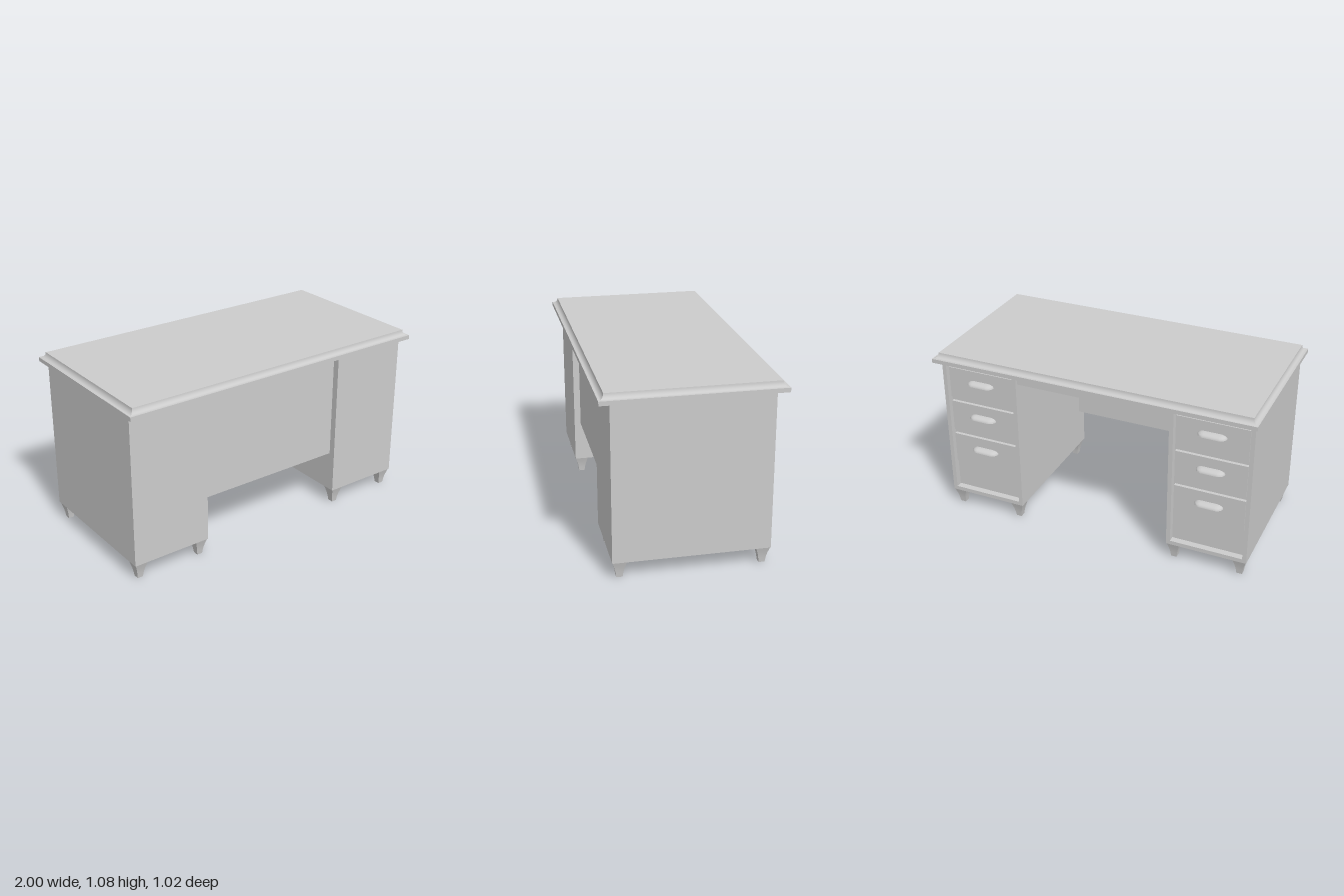
import * as THREE from 'three';
import { toCreasedNormals } from 'three/addons/utils/BufferGeometryUtils.js';
import { ParametricGeometry } from 'three/addons/geometries/ParametricGeometry.js';

const material = new THREE.MeshStandardMaterial({ color: 0xcccccc });
const doubleMaterial = new THREE.MeshStandardMaterial({ color: 0xcccccc, side: THREE.DoubleSide });

function add(parent, name, geometry, x = 0, y = 0, z = 0, mat = material) {
  const mesh = new THREE.Mesh(geometry, mat);
  mesh.name = name;
  mesh.position.set(x, y, z);
  parent.add(mesh);
  return mesh;
}

// Box given by its lower and upper limits
function board(parent, name, [x0, x1], [y0, y1], [z0, z1]) {
  const geometry = new THREE.BoxGeometry(x1 - x0, y1 - y0, z1 - z0);
  return add(parent, name, geometry, (x0 + x1) / 2, (y0 + y1) / 2, (z0 + z1) / 2);
}

// Stack of rectangles [halfX, halfZ, y]: a four-sided lathe with its corners moved
function rectLoft(rings) {
  const points = rings.map(([, , y]) => new THREE.Vector2(1, y));
  const geometry = new THREE.LatheGeometry(points, 4, Math.PI / 4);
  const pos = geometry.attributes.position;
  for (let i = 0; i < pos.count; i++) {
    const [hx, hz, y] = rings[i % rings.length];
    pos.setXYZ(i, Math.sign(pos.getX(i)) * hx, y, Math.sign(pos.getZ(i)) * hz);
  }
  return toCreasedNormals(geometry, 0.6);
}

// Table top: square-edged slab with a concave moulding above it
function topGeometry() {
  const rings = [[0, 0, 1.025], [1, 0.511, 1.025], [1, 0.511, 1.05]];
  for (let i = 0; i <= 6; i++) {
    const a = (i / 6) * Math.PI / 2;
    const inset = 0.003 + 0.028 * Math.sin(a);
    rings.push([1 - inset, 0.511 - inset, 1.05 + 0.033 * (1 - Math.cos(a))]);
  }
  rings.push([0, 0, 1.083]);
  return rectLoft(rings);
}

// Pedestal case: closed front and sides, rimmed recess at the back
function caseGeometry() {
  const w = 0.2475, h = 0.4625, rim = 0.025;
  return rectLoft([
    [0, 0, -0.45], [w, h, -0.45], [w, h, 0.447],
    [w - rim, h - rim, 0.447], [w - rim, h - rim, 0.407], [0, 0, 0.407],
  ]).rotateX(-Math.PI / 2);
}

// Tapered foot with concave sides
function footGeometry() {
  const profile = [[0.017, 0], [0.021, 0.03], [0.026, 0.055], [0.033, 0.08], [0.039, 0.1]];
  return rectLoft([[0, 0, 0], ...profile.map(([r, y]) => [r, r * 1.03, y])]);
}

// Hooded cup pull, round-ended in plan, hollow and open below
function pullGeometry() {
  const half = 0.045;
  const loop = [];
  for (let i = 0; i <= 6; i++) {
    const e = (i / 6) * Math.PI / 2;
    loop.push([0.041 * Math.cos(e), 0.022 * Math.sin(e)]);
  }
  for (let i = 6; i >= 0; i--) {
    const e = (i / 6) * Math.PI / 2;
    loop.push([0.033 * Math.cos(e), 0.016 * Math.sin(e)]);
  }
  loop.push(loop[0]);
  const slices = 17;
  const geometry = new ParametricGeometry((u, v, target) => {
    const i = Math.round(u * slices);
    const a = ((i < 9 ? i : i - 1) / 16) * Math.PI;
    const [r, y] = loop[Math.round(v * (loop.length - 1))];
    target.set((i < 9 ? half : -half) + r * Math.cos(a), y, -r * Math.sin(a));
  }, slices, loop.length - 1);
  return toCreasedNormals(geometry, 0.7);
}

export function createModel() {
  const desk = new THREE.Group();
  desk.name = 'desk';
  add(desk, 'tableTop', topGeometry());

  const pedestalCase = caseGeometry(), foot = footGeometry(), pull = pullGeometry();
  for (const side of [-1, 1]) {
    const pedestal = new THREE.Group();
    pedestal.name = side > 0 ? 'leftPedestal' : 'rightPedestal';
    pedestal.position.x = side * 0.7275;
    desk.add(pedestal);
    add(pedestal, 'case', pedestalCase, 0, 0.5625, 0);

    // Three drawers with pulls
    for (let i = 0; i < 3; i++) {
      const base = 0.887 - 0.23 * i;
      board(pedestal, 'drawerFront', [-0.215, 0.215], [base - 0.117, base + 0.083], [-0.427, -0.4]);
      add(pedestal, 'drawerPull', pull, 0, base, -0.427, doubleMaterial);
    }

    // Four feet
    for (const x of [-0.204, 0.204]) {
      for (const z of [-0.405, 0.407]) add(pedestal, 'foot', foot, x, 0, z);
    }
  }

  // Front panel and rear apron between the pedestals
  board(desk, 'frontPanel', [-0.48, 0.48], [0.35, 1.025], [0.38, 0.41]);
  board(desk, 'kneeholeApron', [-0.48, 0.48], [0.95, 1.025], [-0.43, -0.4]);
  return desk;
}
